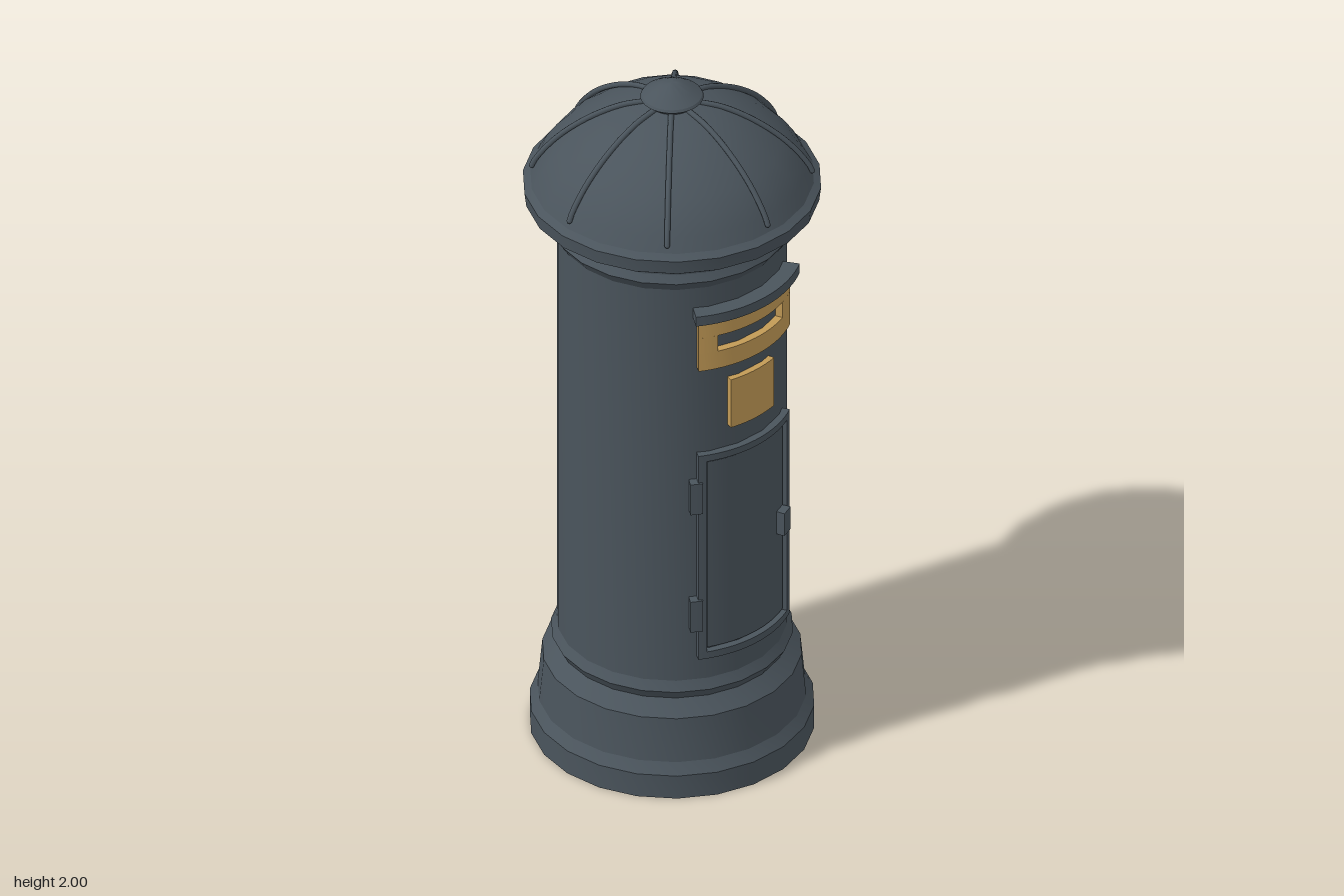
import * as THREE from 'three';
import { toCreasedNormals } from 'three/addons/utils/BufferGeometryUtils.js';

const paint = new THREE.MeshStandardMaterial({ color: 0x4a545c });
paint.name = 'slate paint';
const brass = new THREE.MeshStandardMaterial({ color: 0xc29a56 });
brass.name = 'brass';

const SIDES = 22;

function add(parent, name, geometry, material = paint) {
  const mesh = new THREE.Mesh(geometry, material);
  mesh.name = name;
  parent.add(mesh);
  return mesh;
}

// Turned part from [radius, height] pairs, listed bottom to top
function turned(profile, sides = SIDES) {
  const points = profile.map(([r, y]) => new THREE.Vector2(r, y));
  return toCreasedNormals(new THREE.LatheGeometry(points, sides, Math.PI / 2), 0.45);
}

// Block bent round the pillar: spans x0..x1 at its outer radius, y0..y1 in height
function bent(x0, x1, y0, y1, outer, inner = 0.285) {
  const a0 = Math.asin(x0 / outer) - Math.PI / 2;
  const a1 = Math.asin(x1 / outer) - Math.PI / 2;
  const shape = new THREE.Shape();
  shape.absarc(0, 0, outer, a0, a1, false);
  shape.absarc(0, 0, inner, a1, a0, true);
  const g = new THREE.ExtrudeGeometry(shape, { depth: y1 - y0, bevelEnabled: false, curveSegments: 10 });
  g.rotateX(-Math.PI / 2);
  g.translate(0, y0, 0);
  return toCreasedNormals(g, 0.5);
}

// Four bent bars round a rectangular opening
function bentFrame(parent, name, o, i, radius, material) {
  const group = new THREE.Group();
  group.name = name;
  add(group, name + 'Top', bent(o.x0, o.x1, i.y1, o.y1, radius), material);
  add(group, name + 'Bottom', bent(o.x0, o.x1, o.y0, i.y0, radius), material);
  add(group, name + 'RightSide', bent(o.x0, i.x0, i.y0, i.y1, radius), material);
  add(group, name + 'LeftSide', bent(i.x1, o.x1, i.y0, i.y1, radius), material);
  parent.add(group);
}

export function createModel() {
  const model = new THREE.Group();
  model.name = 'pillarBox';

  // Stepped base
  add(model, 'base', turned([
    [0, 0], [0.373, 0], [0.373, 0.07], [0.352, 0.1], [0.34, 0.228],
    [0.302, 0.268], [0.317, 0.295], [0.302, 0.322],
  ]));

  // Pillar and collar
  add(model, 'pillar', turned([[0.302, 0.268], [0.302, 1.56]]));
  add(model, 'collar', turned([
    [0.3, 1.545], [0.322, 1.578], [0.31, 1.6], [0.31, 1.64],
  ]));

  // Domed cap
  const dome = [
    [0.372, 1.708], [0.352, 1.745], [0.325, 1.784], [0.29, 1.822],
    [0.24, 1.862], [0.185, 1.897], [0.125, 1.923], [0.06, 1.938],
  ];
  add(model, 'cap', turned([
    [0.29, 1.62], [0.345, 1.627], [0.386, 1.655], [0.391, 1.695], ...dome, [0, 1.942],
  ]));

  // Eight ribs lying along the dome
  const ribCurve = new THREE.CatmullRomCurve3([
    [0.366, 1.73], [0.358, 1.748], [0.331, 1.786], [0.294, 1.826],
    [0.243, 1.867], [0.187, 1.901], [0.126, 1.927], [0.06, 1.94],
  ].map(([r, y]) => new THREE.Vector3(r, y, 0)));
  const ribGeometry = new THREE.TubeGeometry(ribCurve, 20, 0.0075, 8, false);
  for (let i = 0; i < 8; i++) {
    const angle = i * Math.PI / 4;
    const rib = add(model, 'rib', ribGeometry);
    rib.rotation.y = angle;
    // rounded lower tip
    const tip = add(rib, 'ribTip', new THREE.SphereGeometry(0.0075, 8, 6));
    tip.position.set(0.366, 1.73, 0);
  }

  // Finial
  add(model, 'finial', turned([
    [0.05, 1.925], [0.058, 1.935], [0.083, 1.956], [0.079, 1.963],
    [0.055, 1.979], [0.03, 1.993], [0.012, 1.999], [0, 2],
  ], 32));

  // Letter slot with its hood
  add(model, 'slotHood', bent(-0.185, 0.185, 1.458, 1.487, 0.344));
  bentFrame(model, 'slotPlate',
    { x0: -0.163, x1: 0.163, y0: 1.3, y1: 1.458 },
    { x0: -0.115, x1: 0.115, y0: 1.354, y1: 1.403 }, 0.321, brass);

  // Notice plate
  add(model, 'noticePlate', bent(-0.077, 0.077, 1.1, 1.25, 0.317), brass);

  // Door in its frame
  bentFrame(model, 'doorFrame',
    { x0: -0.163, x1: 0.163, y0: 0.395, y1: 1.033 },
    { x0: -0.143, x1: 0.143, y0: 0.416, y1: 1.013 }, 0.32, paint);
  add(model, 'door', bent(-0.134, 0.134, 0.424, 1.005, 0.31));

  // Hinges
  for (const y of [0.487, 0.855]) {
    add(model, 'hinge', bent(-0.185, -0.156, y, y + 0.095, 0.326));
  }

  // Handle
  add(model, 'handle', bent(0.106, 0.142, 0.68, 0.75, 0.333));

  return model;
}
